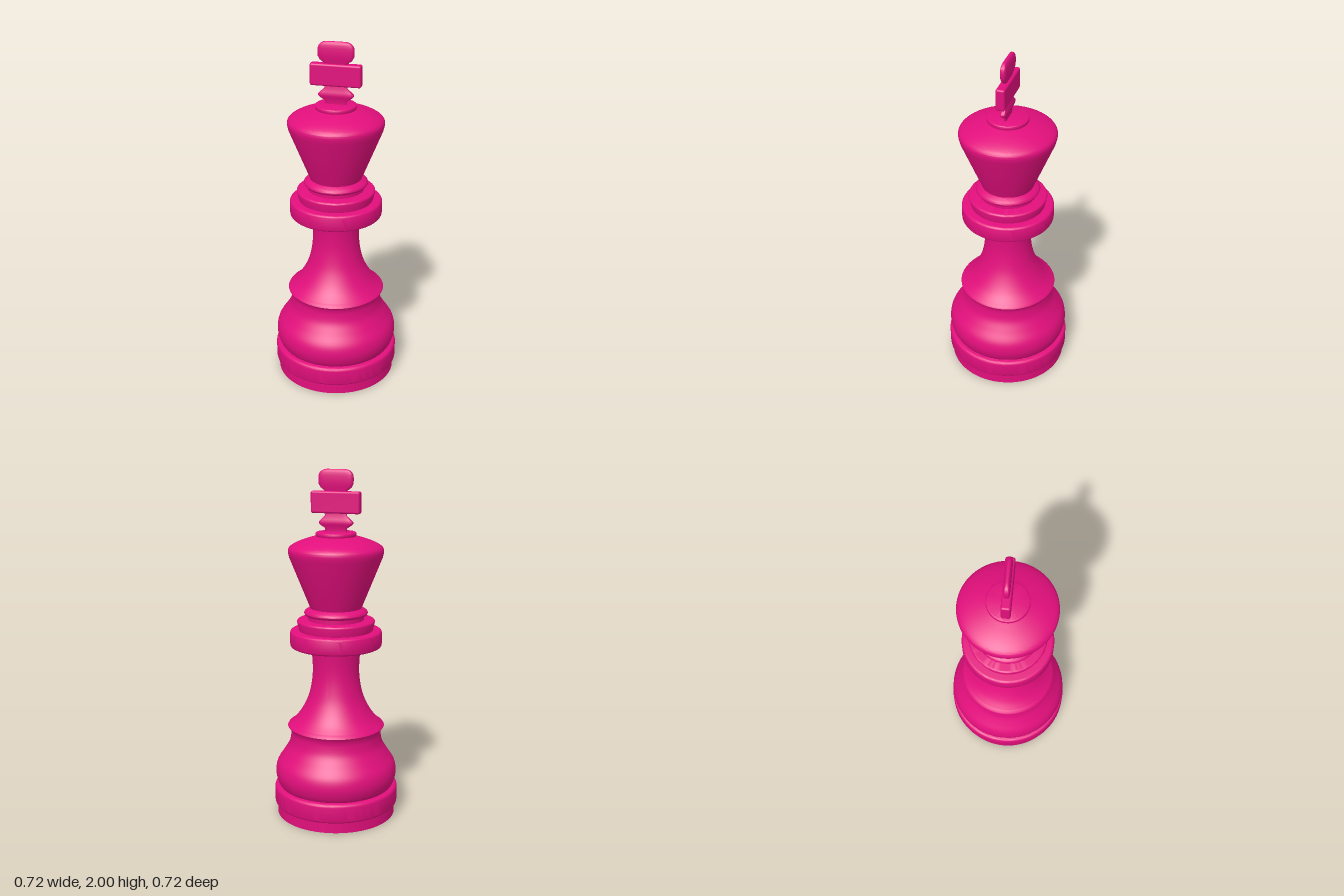
import * as THREE from 'three';
import { toCreasedNormals } from 'three/addons/utils/BufferGeometryUtils.js';
import { RoundedBoxGeometry } from 'three/addons/geometries/RoundedBoxGeometry.js';

const magenta = new THREE.MeshStandardMaterial({ color: 0xe20f7c });
magenta.name = 'magenta';

const vec = (pts) => pts.map(([x, y]) => new THREE.Vector2(x, y));
const smooth = (pts, n = 24) => new THREE.SplineCurve(vec(pts)).getPoints(n).map((p) => [p.x, p.y]);

function mesh(name, geometry) {
  const m = new THREE.Mesh(geometry, magenta);
  m.name = name;
  return m;
}

// Turned part: profile runs from bottom to top
function turned(name, profile) {
  return mesh(name, toCreasedNormals(new THREE.LatheGeometry(vec(profile), 96), 0.6));
}

// Disc with rounded rims; the top radius may differ from the bottom one
function disc(name, y0, y1, r0, r1, bevel) {
  const pts = [[0, y0]];
  for (let i = 0; i <= 5; i++) {
    const a = (i / 5) * Math.PI / 2;
    pts.push([r0 - bevel + bevel * Math.sin(a), y0 + bevel - bevel * Math.cos(a)]);
  }
  for (let i = 0; i <= 5; i++) {
    const a = (i / 5) * Math.PI / 2;
    pts.push([r1 - bevel + bevel * Math.cos(a), y1 - bevel + bevel * Math.sin(a)]);
  }
  pts.push([0, y1]);
  return turned(name, pts);
}

// Rounded-rectangle sections [y, halfWidth, halfDepth] joined into a solid
function loft(name, sections) {
  const n = 40, pos = [], index = [];
  const round = (v) => Math.sign(v) * Math.pow(Math.abs(v), 0.4);
  const rows = [[sections[0][0], 0, 0], ...sections, [sections[sections.length - 1][0], 0, 0]];
  rows.forEach(([y, w, d], i) => {
    for (let j = 0; j < n; j++) {
      const a = (j / n) * Math.PI * 2;
      pos.push(w * round(Math.cos(a)), y, d * round(Math.sin(a)));
      if (i === rows.length - 1) continue;
      const p = i * n + j, q = i * n + (j + 1) % n;
      index.push(p, p + n, q, q, p + n, q + n);
    }
  });
  const g = new THREE.BufferGeometry();
  g.setAttribute('position', new THREE.Float32BufferAttribute(pos, 3));
  g.setIndex(index);
  return mesh(name, toCreasedNormals(g, 0.7));
}

export function createModel() {
  const king = new THREE.Group();
  king.name = 'chessKing';

  // Base
  king.add(turned('plinth', [[0, 0], [0.345, 0], [0.345, 0.08]]));
  king.add(disc('baseBand', 0.06, 0.175, 0.36, 0.36, 0.018));
  king.add(turned('bulb', [
    ...smooth([[0.32, 0.165], [0.34, 0.195], [0.353, 0.25], [0.343, 0.31], [0.305, 0.37],
      [0.273, 0.425], [0.262, 0.475], [0.262, 0.505]], 32),
    [0.28, 0.532],
  ]));

  // Stem, sweeping in from the flared rim
  king.add(turned('stem', [
    [0.28, 0.532], [0.275, 0.54],
    ...smooth([[0.262, 0.548], [0.222, 0.59], [0.184, 0.65], [0.155, 0.72], [0.137, 0.81],
      [0.134, 0.9], [0.143, 1.01]], 32),
  ]));

  // Collar
  king.add(disc('lowerCollar', 1.003, 1.1, 0.262, 0.262, 0.016));
  king.add(disc('middleCollar', 1.09, 1.16, 0.211, 0.222, 0.012));
  king.add(turned('collarNeck', [[0.158, 1.15], [0.158, 1.195]]));
  king.add(turned('upperCollar', [
    [0.155, 1.182],
    ...smooth([[0.172, 1.186], [0.181, 1.198], [0.174, 1.212], [0.148, 1.228]], 12),
    [0, 1.228],
  ]));

  // Head
  king.add(turned('head', [
    [0.143, 1.22], [0.262, 1.515],
    ...smooth([[0.268, 1.54], [0.268, 1.56], [0.255, 1.578], [0.22, 1.598], [0.17, 1.617], [0.11, 1.634]], 20),
    [0, 1.64],
  ]));
  king.add(disc('headCap', 1.63, 1.656, 0.115, 0.115, 0.009));

  // Finial cross
  const cross = new THREE.Group();
  cross.name = 'cross';
  cross.add(loft('crossStem', [
    [1.65, 0.062, 0.008], [1.675, 0.062, 0.008], [1.692, 0.088, 0.014], [1.702, 0.098, 0.017],
    [1.712, 0.098, 0.017], [1.724, 0.086, 0.014], [1.745, 0.063, 0.007], [1.77, 0.06, 0.006],
  ]));
  const bar = mesh('crossBar', new RoundedBoxGeometry(0.284, 0.122, 0.05, 4, 0.011));
  bar.position.y = 1.819;
  cross.add(bar);
  cross.add(loft('crossTop', [
    [1.87, 0.058, 0.009], [1.884, 0.066, 0.011], [1.9, 0.088, 0.014], [1.92, 0.099, 0.017],
    [1.945, 0.1, 0.018], [1.965, 0.099, 0.017], [1.98, 0.093, 0.0155], [1.99, 0.083, 0.0125],
    [1.997, 0.07, 0.008], [2, 0.055, 0.004],
  ]));
  king.add(cross);

  return king;
}
